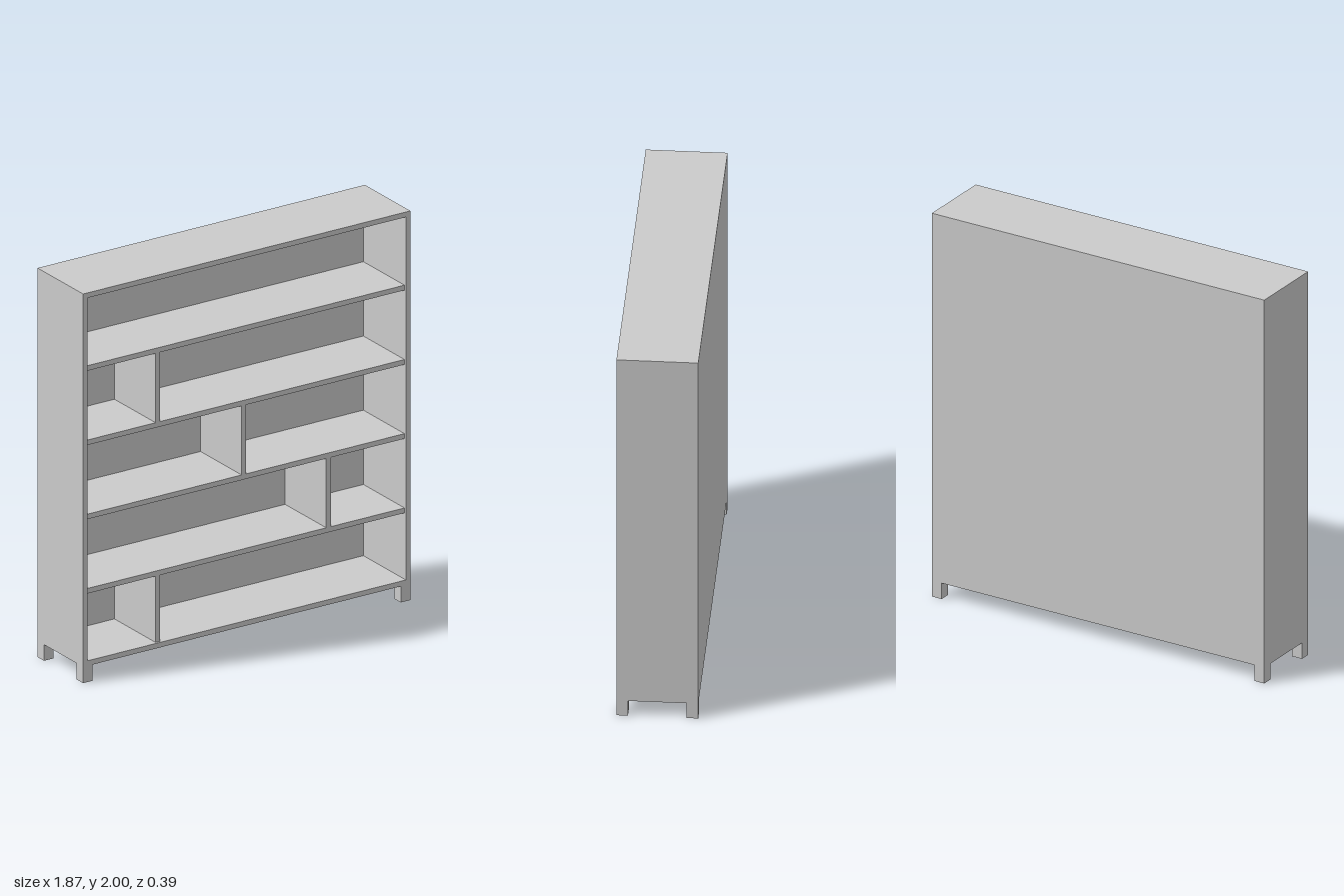
import * as THREE from 'three';

export function createModel() {
  const group = new THREE.Group();
  const material = new THREE.MeshStandardMaterial({ color: 0xcccccc });

  // Box given by its lower and upper corners
  function board(name, [x0, y0, z0], [x1, y1, z1]) {
    const mesh = new THREE.Mesh(new THREE.BoxGeometry(x1 - x0, y1 - y0, z1 - z0), material);
    mesh.position.set((x0 + x1) / 2, (y0 + y1) / 2, (z0 + z1) / 2);
    mesh.name = name;
    group.add(mesh);
  }

  const W = 0.935, D = 0.195, H = 2;    // half width, half depth, height
  const T = 0.026;                      // board thickness
  const BASE = 0.083, LEG = 0.055;      // leg height and width
  const IN = W - T, BACK = -D + T;      // inside faces of the case
  const FRONT = D - 0.012;              // shelves sit slightly behind the frame

  // Outer frame: one extruded ring with a rectangular opening
  const ring = new THREE.Shape([[-W, BASE], [W, BASE], [W, H], [-W, H]].map(p => new THREE.Vector2(...p)));
  ring.holes.push(new THREE.Path(
    [[-IN, BASE + T], [-IN, H - T], [IN, H - T], [IN, BASE + T]].map(p => new THREE.Vector2(...p))));
  const frame = new THREE.Mesh(
    new THREE.ExtrudeGeometry(ring, { depth: 2 * D, bevelEnabled: false }), material);
  frame.position.z = -D;
  frame.name = 'outerFrame';
  group.add(frame);

  // Back panel, set inside the frame and flush with its rear
  board('backPanel', [-IN, BASE + T, -D], [IN, H - T, BACK]);

  // Shelves, by height of the upper face
  const shelfTops = [0.475, 0.857, 1.238, 1.62];
  for (const y of shelfTops) board('shelf', [-IN, y - T, BACK], [IN, y, FRONT]);

  // Staggered dividers, one per row except the top row
  const floors = [BASE + T, ...shelfTops];
  [-0.5, 0.475, -0.008, -0.5].forEach((x, i) =>
    board('divider', [x - T / 2, floors[i], BACK], [x + T / 2, shelfTops[i] - T, FRONT]));

  // Square legs flush with the corners
  for (const x of [-W, W - LEG])
    for (const z of [-D, D - LEG])
      board('leg', [x, 0, z], [x + LEG, BASE, z + LEG]);

  return group;
}
